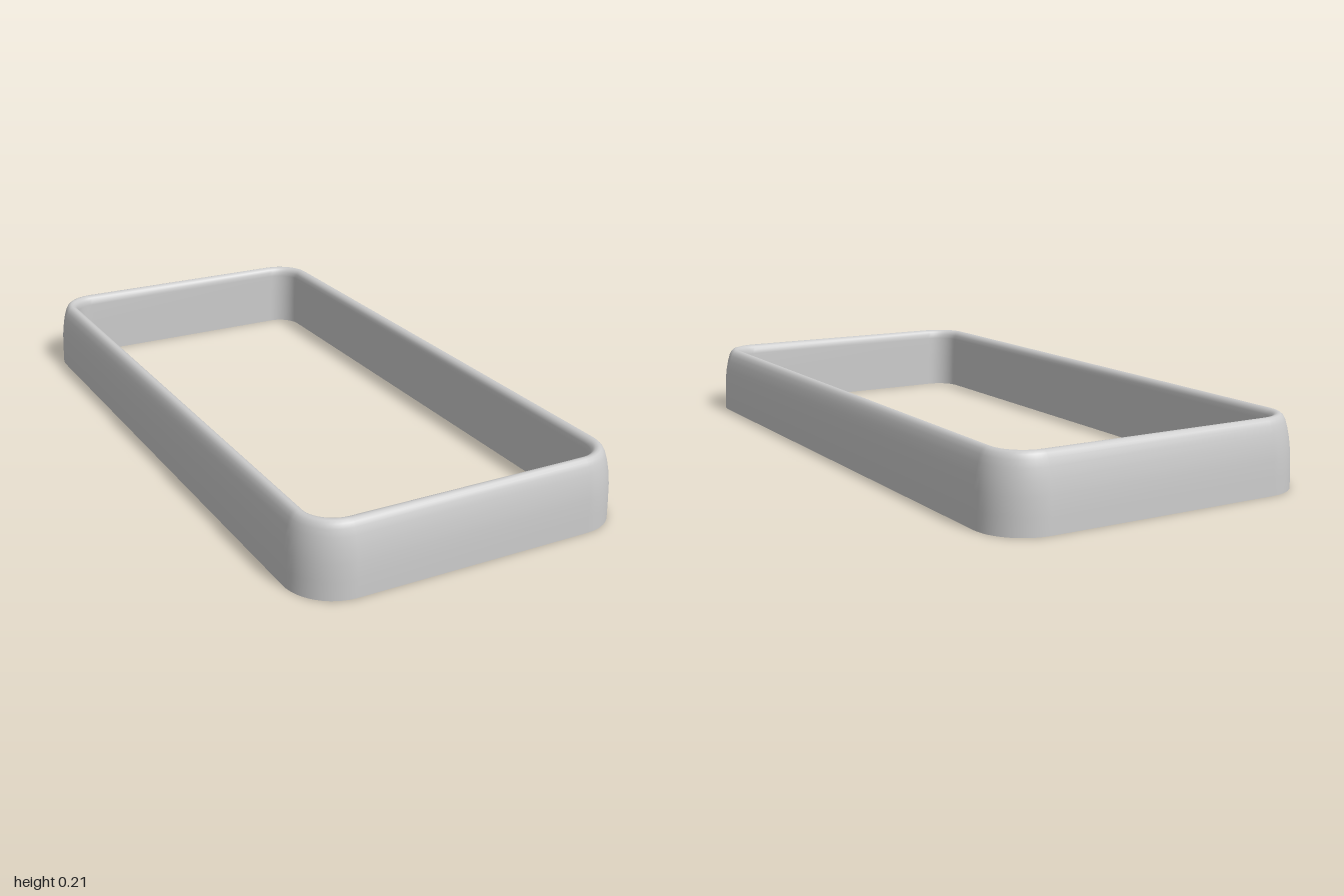
import * as THREE from 'three';

const HALF_X = 0.5, HALF_Z = 1, RADIUS = 0.14, STEPS = 12;

// Closed rounded rectangle, shrunk inward by d, as [x, z] points
function outline(d) {
  const points = [];
  for (const [k, sx, sz] of [[0, 1, 1], [1, -1, 1], [2, -1, -1], [3, 1, -1]]) {
    for (let i = 0; i <= STEPS; i++) {
      const a = (k + i / STEPS) * Math.PI / 2;
      points.push([
        sx * (HALF_X - RADIUS) + (RADIUS - d) * Math.cos(a),
        sz * (HALF_Z - RADIUS) + (RADIUS - d) * Math.sin(a),
      ]);
    }
  }
  return points;
}

// Sweeps a profile of [inset, height] points around the outline
function sweep(profile) {
  const position = [], index = [];
  const n = 4 * (STEPS + 1);
  for (const [d, y] of profile) {
    for (const [x, z] of outline(d)) position.push(x, y, z);
  }
  for (let j = 0; j < profile.length - 1; j++) {
    for (let i = 0; i < n; i++) {
      const a = j * n + i, b = j * n + (i + 1) % n;
      index.push(a, a + n, b, b, a + n, b + n);
    }
  }
  const geometry = new THREE.BufferGeometry();
  geometry.setAttribute('position', new THREE.Float32BufferAttribute(position, 3));
  geometry.setIndex(index);
  geometry.computeVertexNormals();
  return geometry;
}

export function createModel() {
  const group = new THREE.Group();
  group.name = 'roundedFrame';
  const material = new THREE.MeshStandardMaterial({ color: 0xcccccc });
  const add = (name, profile) => {
    const mesh = new THREE.Mesh(sweep(profile), material);
    mesh.name = name;
    group.add(mesh);
  };

  // Wall: tapering outside, rounded rim, straight inside
  add('wall', [
    [0, 0], [0.001, 0.05], [0.003, 0.1], [0.008, 0.14], [0.014, 0.17],
    [0.02, 0.19], [0.026, 0.202], [0.033, 0.208], [0.04, 0.21],
    [0.048, 0.208], [0.055, 0.203], [0.06, 0.194], [0.062, 0.18],
    [0.062, 0.1], [0.062, 0],
  ]);

  // Flat underside
  add('underside', [[0.062, 0], [0, 0]]);

  return group;
}
